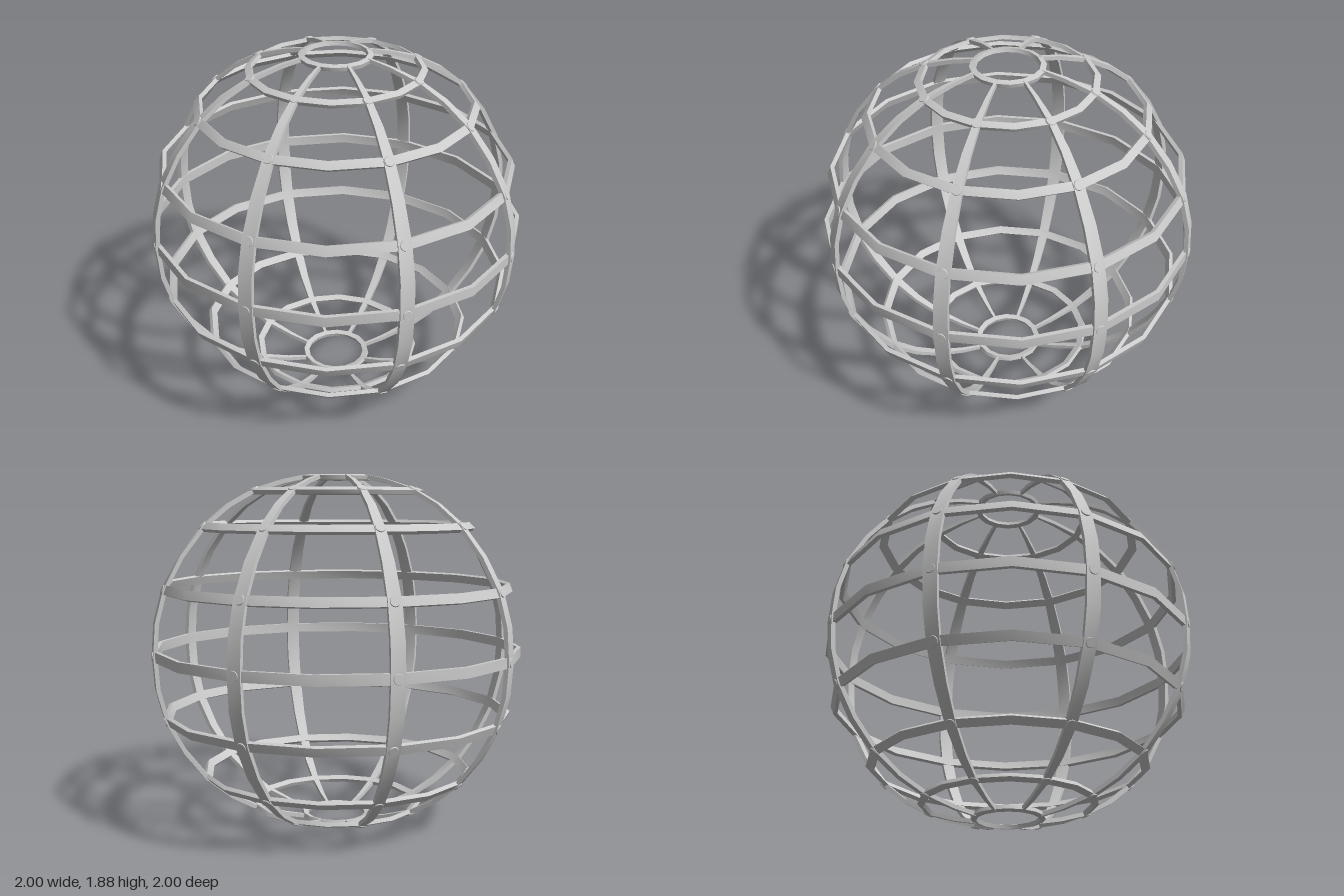
import * as THREE from 'three';
import { toCreasedNormals } from 'three/addons/utils/BufferGeometryUtils.js';

const CENTER_Y = 0.943;
const THICK = 0.022;
const SIDES = 16;
const RIBS = 8;

// Upper half of the cage: radius, height above the centre, ring band width
const LEVELS = [
  [0.984, 0, 0.054],
  [0.926, 0.345, 0.05],
  [0.717, 0.668, 0.045],
  [0.445, 0.855, 0.036],
  [0.175, 0.927, 0.03],
];
const lower = LEVELS.slice(1).reverse().map(([r, y, w]) => [r, -y, w]);
const rows = [...lower, ...LEVELS];
const profile = new THREE.SplineCurve(rows.map(([r, y]) => new THREE.Vector2(r, y)));

// Point, upward tangent and outward normal of the profile
function frameAt(t) {
  const p = profile.getPoint(t);
  const tangent = profile.getTangent(t);
  return { p, tangent, normal: new THREE.Vector2(tangent.y, -tangent.x) };
}

// Flat band lying on the surface, turned around the axis
function ringGeometry(t, width) {
  const { p, tangent, normal } = frameAt(t);
  const corners = [[1, -1], [1, 1], [-1, 1], [-1, -1], [1, -1]].map(([n, u]) =>
    p.clone()
      .addScaledVector(normal, (n * THICK) / 2)
      .addScaledVector(tangent, (u * width) / 2));
  return toCreasedNormals(new THREE.LatheGeometry(corners, SIDES), 0.6);
}

// Strap bent along the profile, its width shrinking with the radius
function ribGeometry() {
  const geo = new THREE.BoxGeometry(1, 1, 1, 1, 16, 1);
  const pos = geo.attributes.position;
  for (let i = 0; i < pos.count; i++) {
    const { p, normal } = frameAt(THREE.MathUtils.clamp(pos.getY(i) + 0.5, 0, 1));
    const offset = pos.getZ(i) * THICK + 0.003;
    pos.setXYZ(i, pos.getX(i) * 0.075 * p.x, p.y + normal.y * offset, p.x + normal.x * offset);
  }
  return toCreasedNormals(geo, 0.6);
}

export function createModel() {
  const model = new THREE.Group();
  model.name = 'sphereCage';
  const material = new THREE.MeshStandardMaterial({ color: 0xcccccc });
  const cage = new THREE.Group();
  cage.name = 'cage';
  cage.position.y = CENTER_Y;
  model.add(cage);

  // Horizontal rings
  rows.forEach(([, , width], i) => {
    const ring = new THREE.Mesh(ringGeometry(i / (rows.length - 1), width), material);
    ring.name = 'ring';
    cage.add(ring);
  });

  // Vertical ribs, with a rivet at each crossing except the end rings
  const ribGeo = ribGeometry();
  const rivetGeo = new THREE.CylinderGeometry(0.024, 0.027, 0.008, 16);
  for (let k = 0; k < RIBS; k++) {
    const spoke = new THREE.Group();
    spoke.name = 'ribWithRivets';
    spoke.rotation.y = (k * Math.PI * 2) / RIBS;
    const rib = new THREE.Mesh(ribGeo, material);
    rib.name = 'rib';
    spoke.add(rib);
    for (let i = 1; i < rows.length - 1; i++) {
      const { p, normal } = frameAt(i / (rows.length - 1));
      const rivet = new THREE.Mesh(rivetGeo, material);
      rivet.name = 'rivet';
      const out = THICK / 2 + 0.002;
      rivet.position.set(0, p.y + normal.y * out, p.x + normal.x * out);
      rivet.rotation.x = Math.atan2(normal.x, normal.y);
      spoke.add(rivet);
    }
    cage.add(spoke);
  }
  return model;
}
